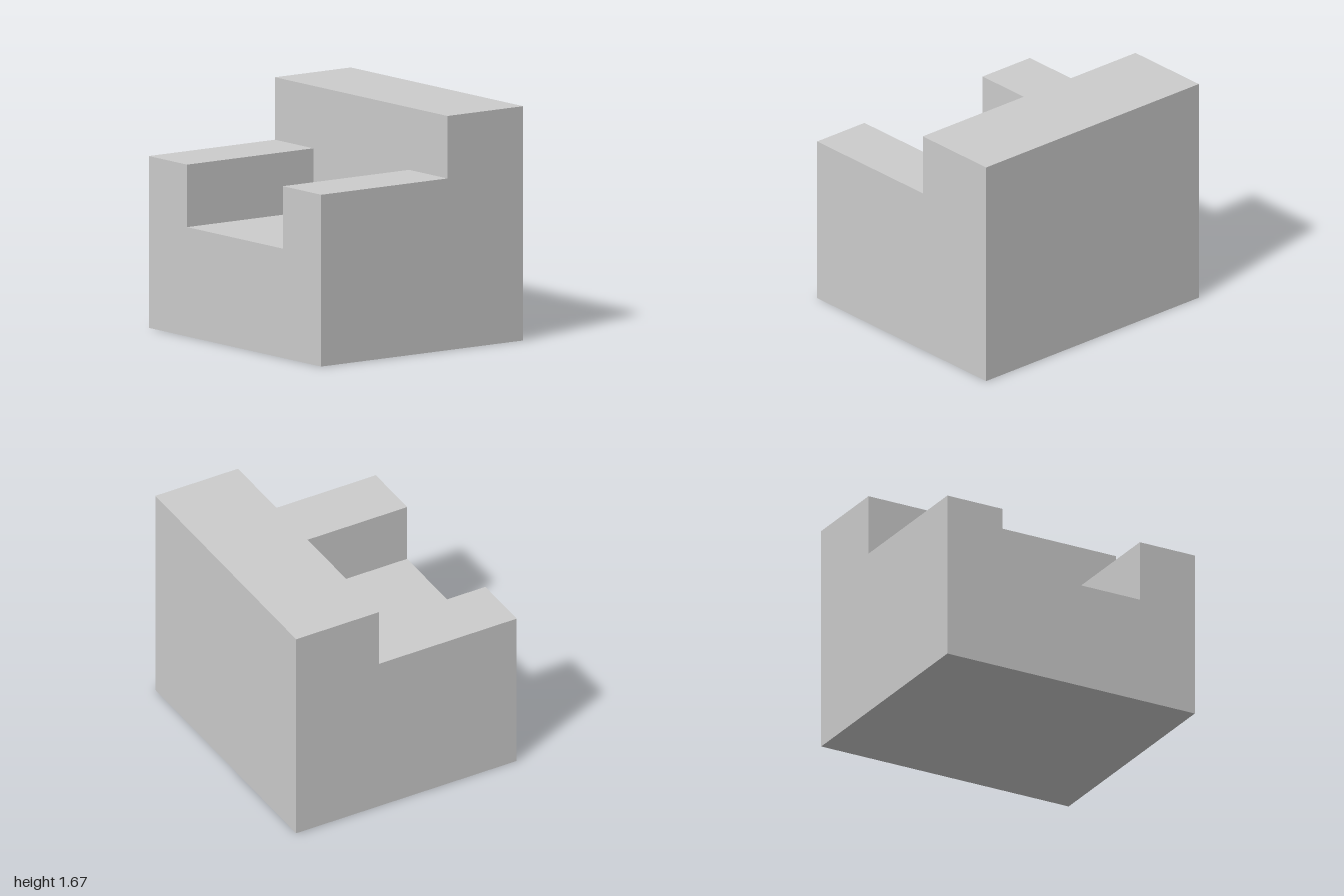
import * as THREE from 'three';

const UNIT = 1 / 9; // all dimensions are whole multiples of this module

export function createModel() {
  const group = new THREE.Group();
  group.name = 'armchair';
  const material = new THREE.MeshStandardMaterial({ color: 0xcccccc, flatShading: true });

  const halfWidth = 9 * UNIT, halfSeat = 5 * UNIT;
  const seatY = 7 * UNIT, armY = 11 * UNIT, backY = 15 * UNIT;
  const frontZ = 8 * UNIT, backrestZ = -2 * UNIT, rearZ = -8 * UNIT;

  // Seat and both arms: one U-shaped profile extruded front to back
  const profile = new THREE.Shape([
    [-halfWidth, 0], [halfWidth, 0], [halfWidth, armY], [halfSeat, armY],
    [halfSeat, seatY], [-halfSeat, seatY], [-halfSeat, armY], [-halfWidth, armY],
  ].map(([x, y]) => new THREE.Vector2(x, y)));
  const seat = new THREE.Mesh(
    new THREE.ExtrudeGeometry(profile, { depth: frontZ - backrestZ, bevelEnabled: false }),
    material
  );
  seat.name = 'seatAndArms';
  seat.position.z = backrestZ;
  group.add(seat);

  // Full-width backrest block reaching the floor
  const depth = backrestZ - rearZ;
  const backrest = new THREE.Mesh(new THREE.BoxGeometry(2 * halfWidth, backY, depth), material);
  backrest.name = 'backrest';
  backrest.position.set(0, backY / 2, rearZ + depth / 2);
  group.add(backrest);

  return group;
}
